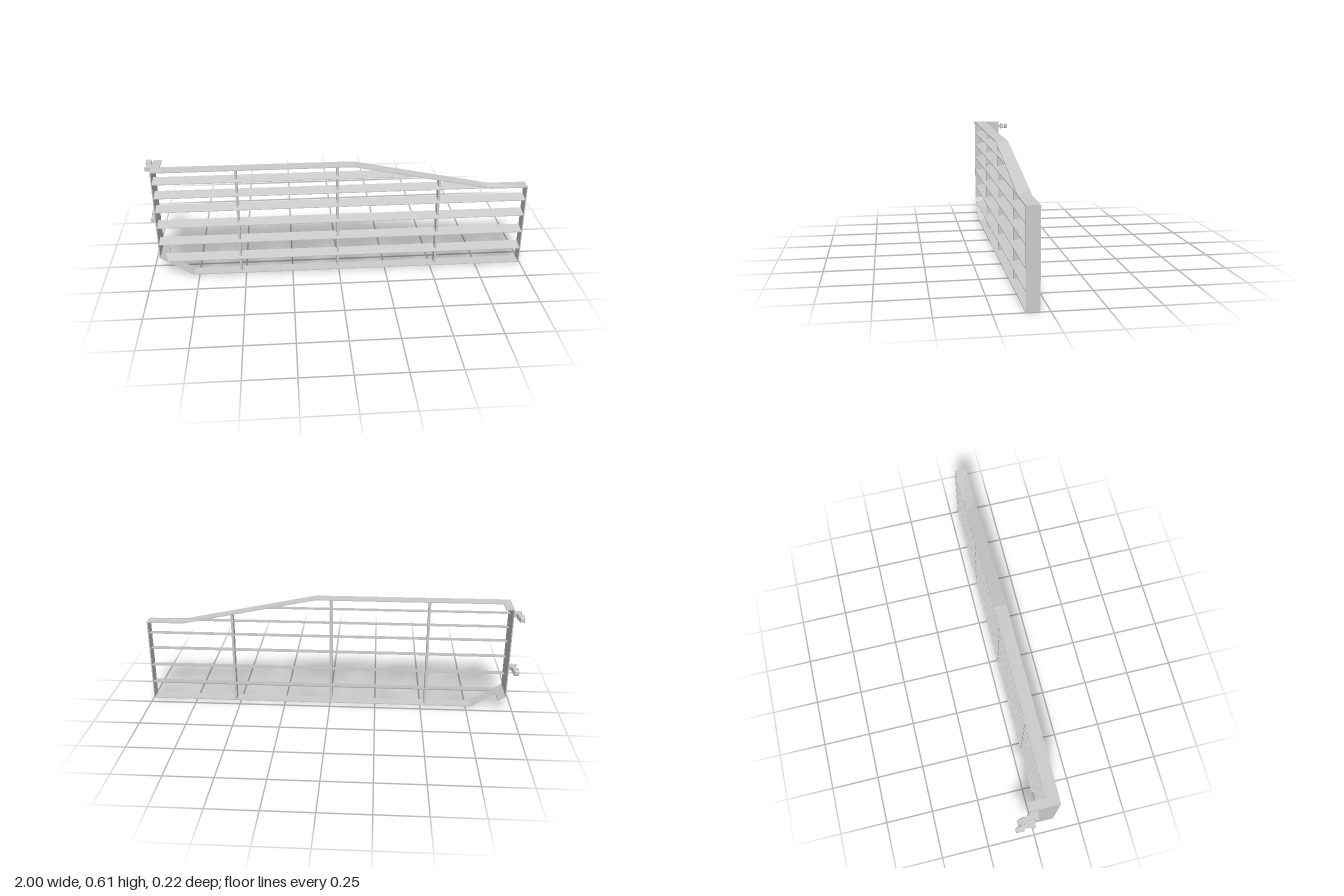
import * as THREE from 'three';

const WALL = 0.005, FRONT = 0.109, BACK = 0.045, LEFT = -0.953, RIGHT = 0.998;
const material = new THREE.MeshStandardMaterial({ color: 0xcccccc, flatShading: true });

const points = list => list.map(([x, y]) => new THREE.Vector2(x, y));

// Panel edges as functions of position
const topAt = x => x < 0.08 ? 0.611 : x < 0.8 ? 0.611 - 0.149 * (x - 0.08) / 0.72 : 0.462;
const leftAt = y => y < 0.113 ? -0.78 + (LEFT + 0.78) * y / 0.113 : LEFT;
const rightAt = y => y > 0.462 ? 0.08 + 0.72 * (0.611 - y) / 0.149 : RIGHT;

function addMesh(parent, name, geometry) {
  const mesh = new THREE.Mesh(geometry, material);
  mesh.name = name;
  parent.add(mesh);
  return mesh;
}

function extrude(shape, z0, z1) {
  const g = new THREE.ExtrudeGeometry(shape, { depth: z1 - z0, bevelEnabled: false, curveSegments: 6 });
  return g.translate(0, 0, z0);
}

// Mitred inward offset of a clockwise polygon
function inset(poly, t) {
  return poly.map((p, i) => {
    const a = p.clone().sub(poly[(i + poly.length - 1) % poly.length]).normalize();
    const b = poly[(i + 1) % poly.length].clone().sub(p).normalize();
    const n1 = new THREE.Vector2(a.y, -a.x), n2 = new THREE.Vector2(b.y, -b.x);
    return p.clone().addScaledVector(n1.clone().add(n2), t / (1 + n1.dot(n2)));
  });
}

// Snap hook: stepped arm with a rounded, slotted head
function makeHook(y) {
  const hook = new THREE.Group();
  hook.name = 'hook';
  const arm = new THREE.Shape(points([
    [LEFT, 0.002], [-0.965, 0], [-0.997, 0.006], [-0.988, 0.03],
    [-0.984, 0.075], [-0.968, 0.075], [-0.966, 0.045], [LEFT, 0.036],
  ]));
  addMesh(hook, 'hookArm', extrude(arm, -0.01, 0.01).rotateX(-Math.PI / 2));

  const head = new THREE.Shape();
  head.moveTo(0.063, -0.0145);
  head.lineTo(0.1, -0.0145);
  head.quadraticCurveTo(0.107, -0.0145, 0.107, -0.007);
  head.lineTo(0.107, 0.007);
  head.quadraticCurveTo(0.107, 0.0145, 0.1, 0.0145);
  head.lineTo(0.063, 0.0145);
  head.closePath();
  head.holes.push(new THREE.Path(points([[0.078, -0.01], [0.078, 0.01], [0.088, 0.01], [0.088, -0.01]])));
  const g = extrude(head, -0.997, -0.967).rotateY(Math.PI / 2);
  // Head leans outward at its middle and tapers at the tip
  const p = g.attributes.position;
  for (let i = 0; i < p.count; i++) {
    if (p.getZ(i) < -0.095 && p.getX(i) > -0.98) p.setX(i, -0.975);
  }
  g.computeVertexNormals();
  addMesh(hook, 'hookHead', g);
  hook.position.y = y;
  return hook;
}

export function createModel() {
  const model = new THREE.Group();
  model.name = 'slattedPanel';

  // Thin surrounding frame
  const outline = points([
    [LEFT, 0.611], [0.08, 0.611], [0.8, 0.462], [RIGHT, 0.462],
    [RIGHT, 0], [-0.78, 0], [LEFT, 0.113],
  ]);
  const frame = new THREE.Shape(outline);
  frame.holes.push(new THREE.Path(inset(outline, WALL).reverse()));
  addMesh(model, 'frame', extrude(frame, BACK, FRONT));

  // Rear flange with short lips at top and bottom
  const flange = new THREE.Shape(points([
    [-0.91, 0.611], [LEFT, 0.611], [LEFT, 0.113], [-0.91, 0.085],
    [-0.91, 0.092], [LEFT + WALL, 0.117], [LEFT + WALL, 0.606], [-0.91, 0.606],
  ]));
  addMesh(model, 'rearFlange', extrude(flange, -0.045, BACK));

  // Slats slope down toward the front, ends trimmed to the frame
  for (const y of [0.548, 0.469, 0.389, 0.298, 0.197, 0.095]) {
    const g = new THREE.BoxGeometry(1, 0.004, FRONT - BACK - 0.002);
    const p = g.attributes.position;
    for (let i = 0; i < p.count; i++) {
      const py = y + p.getY(i) - Math.sign(p.getZ(i)) * 0.007;
      const px = p.getX(i) < 0 ? leftAt(py) + 0.002 : rightAt(py) - 0.002;
      p.setXYZ(i, px, py, p.getZ(i) + (FRONT + BACK) / 2);
    }
    g.computeVertexNormals();
    addMesh(model, 'slat', g);
  }

  // Upright bars, tops cut to the frame
  for (const x of [-0.527, -0.004, 0.531]) {
    const l = x - 0.006, r = x + 0.006;
    const bar = new THREE.Shape(points([
      [l, 0.002], [r, 0.002], [r, topAt(r) - 0.002], [l, topAt(l) - 0.002],
    ]));
    addMesh(model, 'uprightBar', extrude(bar, 0.05, 0.088));
  }

  for (const y of [0.578, 0.279]) model.add(makeHook(y));
  return model;
}
